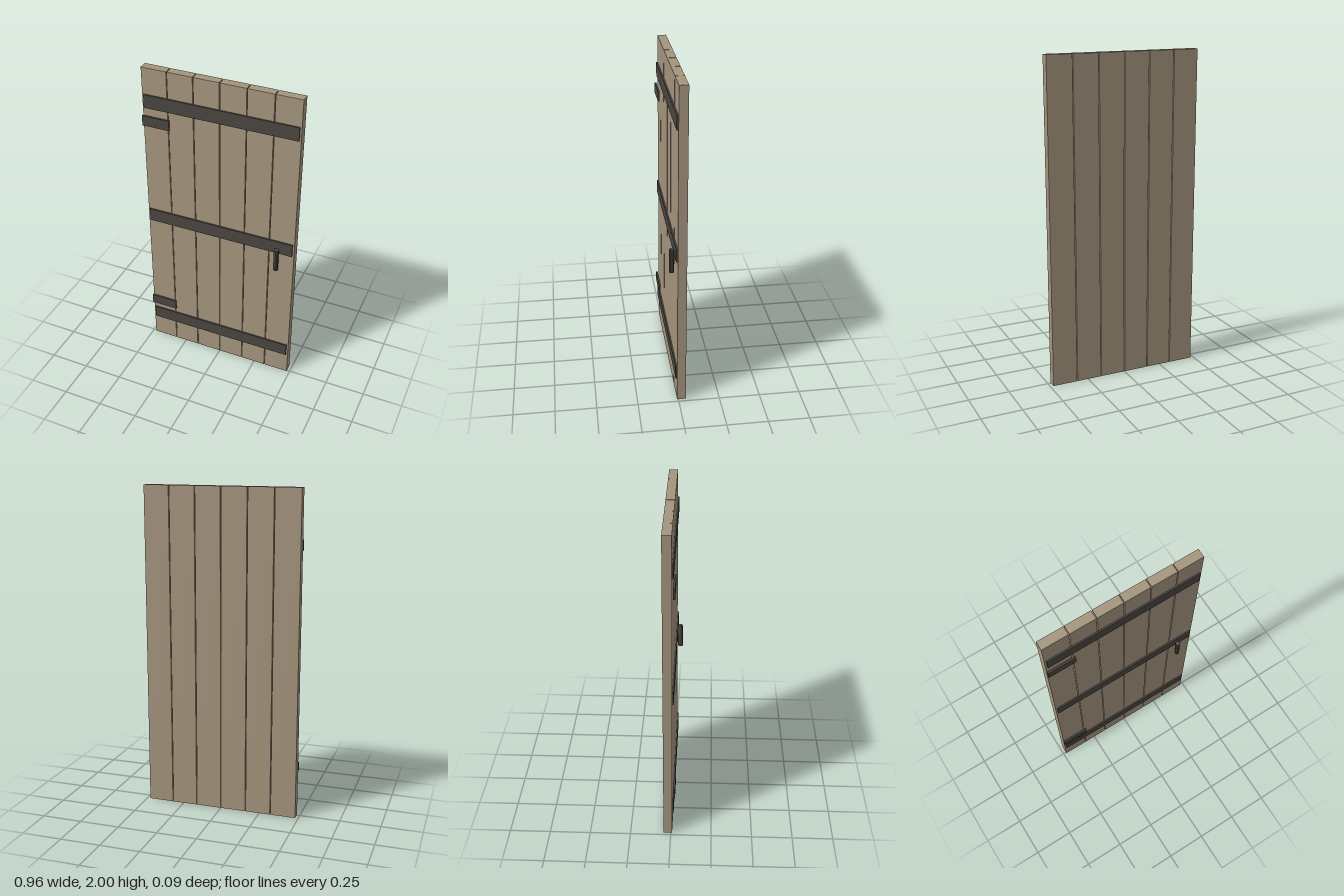
import * as THREE from 'three';

const wood = new THREE.MeshStandardMaterial({ color: 0xa5957e });
const iron = new THREE.MeshStandardMaterial({ color: 0x4a4640, flatShading: true });

export function createModel() {
  const door = new THREE.Group();
  door.name = 'plankDoor';

  // Box given by its extents on each axis
  const addBox = (name, material, [x0, x1], [y0, y1], [z0, z1]) => {
    const mesh = new THREE.Mesh(new THREE.BoxGeometry(x1 - x0, y1 - y0, z1 - z0), material);
    mesh.position.set((x0 + x1) / 2, (y0 + y1) / 2, (z0 + z1) / 2);
    mesh.name = name;
    door.add(mesh);
  };

  // Six upright planks with narrow gaps
  const pitch = 0.161, width = 0.156;
  for (let i = 0; i < 6; i++) {
    const x = (i - 2.5) * pitch;
    addBox(`plank${i + 1}`, wood, [x - width / 2, x + width / 2], [0, 2], [-0.045, 0.008]);
  }

  // Three iron bands across the front
  for (const [i, y] of [0.193, 1.002, 1.793].entries())
    addBox(`band${i + 1}`, iron, [-0.47, 0.47], [y - 0.042, y + 0.042], [0.007, 0.017]);

  // Two short hinge straps at the right edge
  for (const [name, y] of [['lowerHinge', 0.311], ['upperHinge', 1.67]])
    addBox(name, iron, [-0.481, -0.31], [y - 0.032, y + 0.032], [0.015, 0.026]);

  // Upright bar handle
  const handle = new THREE.Mesh(new THREE.CylinderGeometry(0.015, 0.015, 0.15, 10), iron);
  handle.position.set(0.377, 0.92, 0.03);
  handle.name = 'handle';
  door.add(handle);

  return door;
}
